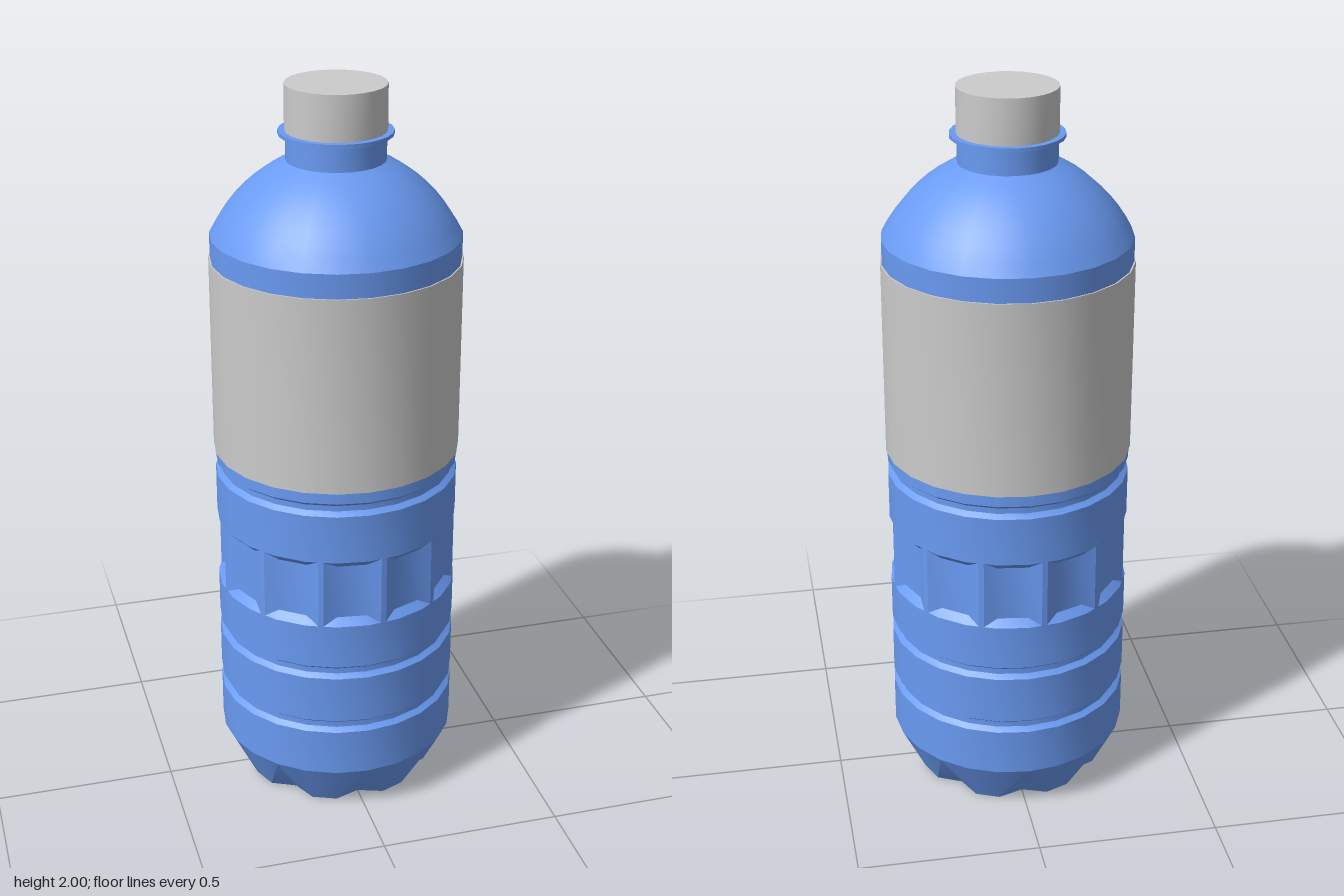
import * as THREE from 'three';
import { toCreasedNormals } from 'three/addons/utils/BufferGeometryUtils.js';

const SIDES = 24, R = 0.332, CREASE = 0.33;
const DEG = Math.PI / 180;
const blue = new THREE.MeshStandardMaterial({ color: 0x6a9bf3 });
const grey = new THREE.MeshStandardMaterial({ color: 0xcccccc });

function part(name, geometry, material) {
  const mesh = new THREE.Mesh(toCreasedNormals(geometry, CREASE), material);
  mesh.name = name;
  return mesh;
}

// Profile points run from bottom to top as [radius, height].
function lathe(name, points, material = blue) {
  const profile = points.map(([r, y]) => new THREE.Vector2(r, y));
  return part(name, new THREE.LatheGeometry(profile, SIDES), material);
}

// Skin over closed rings; each ring is a list of {a: degrees, r, y}.
// hollow picks the diagonal that passes through the deeper corner.
function skin(rings, hollow) {
  const n = rings[0].length, pos = [], index = [];
  for (const { a, r, y } of rings.flat()) {
    pos.push(r * Math.sin(a * DEG), y, r * Math.cos(a * DEG));
  }
  for (let i = 0; i < rings.length - 1; i++) {
    for (let j = 0; j < n; j++) {
      const k = (j + 1) % n;
      const a = i * n + j, b = i * n + k, c = b + n, d = a + n;
      const ac = rings[i][j].r + rings[i + 1][k].r;
      const bd = rings[i][k].r + rings[i + 1][j].r;
      if ((ac < bd) === hollow) index.push(a, b, c, a, c, d);
      else index.push(a, b, d, b, c, d);
    }
  }
  const g = new THREE.BufferGeometry();
  g.setAttribute('position', new THREE.Float32BufferAttribute(pos, 3));
  g.setIndex(index);
  return g;
}

// Rounded-off ring groove in the wall
const groove = (y) => [[R, y - 0.019], [R - 0.014, y - 0.008], [R - 0.014, y + 0.008], [R, y + 0.019]];

// Tapered foot with eight V notches, plus its flat underside
function makeFoot() {
  const ring = (r, y, notch) => Array.from({ length: SIDES }, (_, j) => (
    { a: j * 15, y, r: j % 3 === 0 ? r - notch : r }));
  const low = ring(0.265, 0, 0.033);
  const foot = new THREE.Group();
  foot.name = 'foot';
  foot.add(part('notchedTaper', skin([low, ring(R, 0.135, 0)], false), blue));
  const outline = new THREE.Shape(low.map(({ a, r }) => (
    new THREE.Vector2(r * Math.sin(a * DEG), r * Math.cos(a * DEG)))).reverse());
  const underside = part('underside', new THREE.ShapeGeometry(outline), blue);
  underside.rotation.x = Math.PI / 2;
  foot.add(underside);
  return foot;
}

// Grip band: twelve sunken panels between narrow ribs
function makeGrip() {
  const ring = (y, depth) => {
    const points = [];
    for (let p = 0; p < 12; p++) {
      for (const a of [0, 6.2, 8.8, 15]) {
        const r = R * Math.cos(7.5 * DEG) / Math.cos((a - 7.5) * DEG);
        points.push({ a: p * 30 + a, y, r: a % 15 === 0 ? r - depth : r });
      }
    }
    return points;
  };
  return part('gripBand', skin([ring(0.605, 0), ring(0.625, 0.02), ring(0.78, 0.02), ring(0.8, 0)], true), blue);
}

export function createModel() {
  const bottle = new THREE.Group();
  bottle.name = 'bottle';

  bottle.add(makeFoot(), makeGrip());
  bottle.add(lathe('lowerBody', [[R, 0.135], ...groove(0.287), ...groove(0.46), [R, 0.605]]));

  // Upper wall, domed shoulder and neck
  const dome = new THREE.CubicBezierCurve(
    new THREE.Vector2(R, 1.605), new THREE.Vector2(0.29, 1.69),
    new THREE.Vector2(0.215, 1.765), new THREE.Vector2(0.131, 1.802));
  bottle.add(lathe('upperBody', [[R, 0.8], ...groove(0.955), [R, 1.605]]));
  bottle.add(lathe('shoulder', dome.getPoints(8).map((p) => [p.x, p.y])));
  bottle.add(lathe('neck', [[0.131, 1.802], [0.131, 1.88]]));
  bottle.add(lathe('neckRing', [[0.125, 1.869], [0.15, 1.869], [0.15, 1.879], [0.125, 1.879]]));

  // Wrap-around label with thin edges
  bottle.add(lathe('label', [[R - 0.004, 1.005], [0.336, 1.005], [0.336, 1.54], [R - 0.004, 1.54]], grey));

  // Screw cap
  const cap = part('cap', new THREE.CylinderGeometry(0.133, 0.133, 0.123, SIDES), grey);
  cap.position.y = 1.9385;
  bottle.add(cap);

  return bottle;
}
